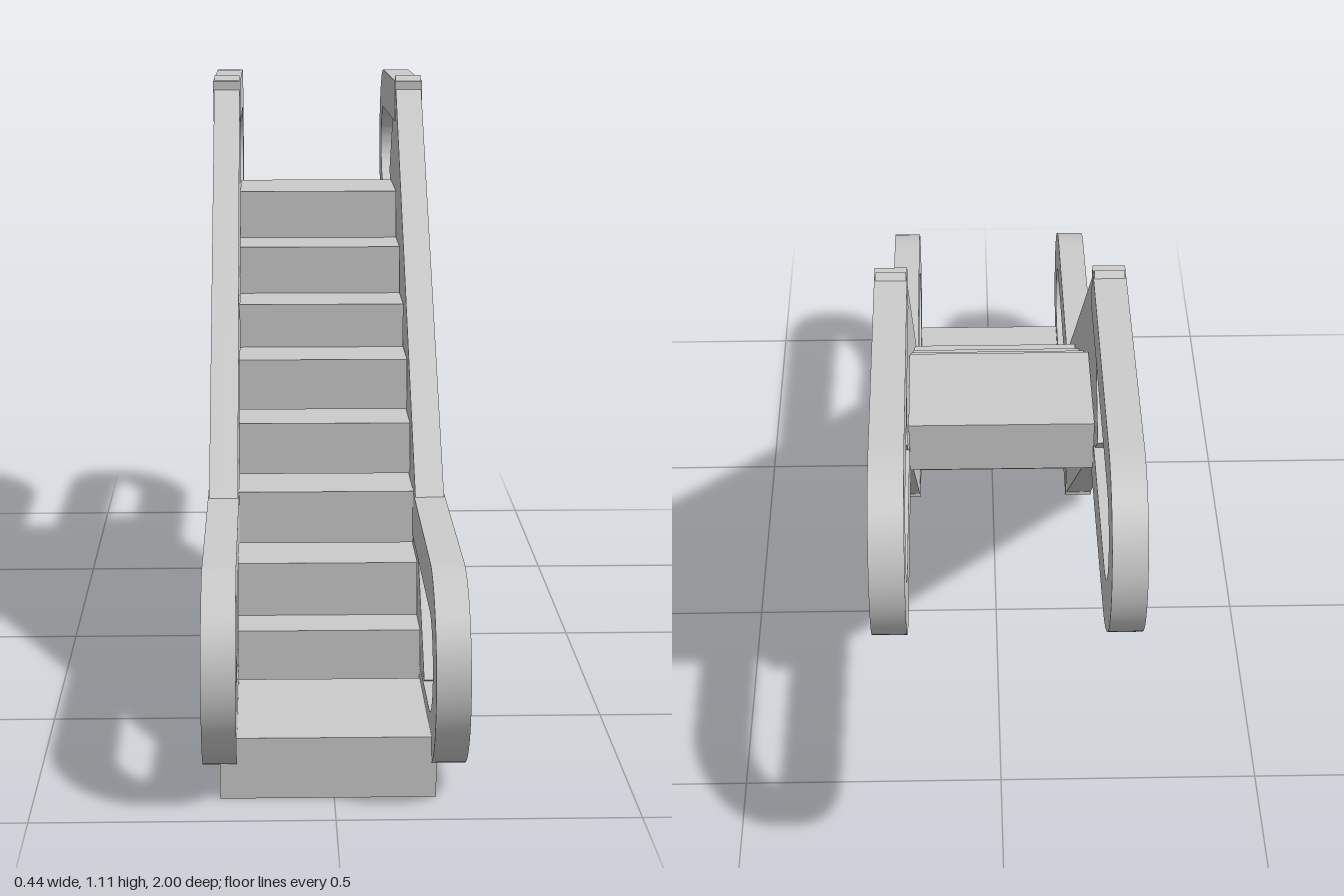
import * as THREE from 'three';
import { toCreasedNormals } from 'three/addons/utils/BufferGeometryUtils.js';

const material = new THREE.MeshStandardMaterial({ color: 0xcccccc });

// Extrudes a (z, y) side profile across x, centred on x = 0
function sideProfile(shape, width) {
  const geo = new THREE.ExtrudeGeometry(shape, { depth: width, bevelEnabled: false, curveSegments: 20 });
  geo.rotateY(-Math.PI / 2).translate(width / 2, 0, 0);
  return toCreasedNormals(geo, 0.6);
}

function addMesh(parent, name, geo, x = 0, y = 0, z = 0) {
  const mesh = new THREE.Mesh(geo, material);
  mesh.name = name;
  mesh.position.set(x, y, z);
  parent.add(mesh);
  return mesh;
}

// U-shaped handrail: two bars joined by a half ring at the outer end.
// dir = +1 faces the front, -1 the back; top and bottom are bar heights at the open end.
function handrailShape(dir, cy, top, bottom) {
  const cz = 0.83 * dir, open = 0.335 * dir, R = 0.17, r = 0.086;
  const front = dir > 0;
  const up = Math.PI / 2;
  const s = new THREE.Shape();
  s.moveTo(open, top);
  s.lineTo(cz, cy + R);
  s.absarc(cz, cy, R, up, front ? -up : 3 * up, front);
  s.lineTo(open, bottom);
  s.lineTo(open, bottom + 0.084);
  s.lineTo(cz, cy - r);
  s.absarc(cz, cy, r, front ? -up : 3 * up, up, !front);
  s.lineTo(open, top - 0.084);
  s.closePath();
  return s;
}

export function createModel() {
  const model = new THREE.Group();
  model.name = 'escalator';

  // Sloping side panel
  const panel = new THREE.Shape([
    [0.68, 0.13], [-0.365, 1.11], [-0.57, 0.89], [0.355, 0.03], [0.60, 0.05],
  ].map(([z, y]) => new THREE.Vector2(z, y)));
  const panelGeo = sideProfile(panel, 0.053);
  const lowerGeo = sideProfile(handrailShape(1, 0.215, 0.39, 0.04), 0.057);
  const upperGeo = sideProfile(handrailShape(-1, 0.92, 1.1, 0.745), 0.057);

  for (const side of [1, -1]) {
    const group = new THREE.Group();
    group.name = side > 0 ? 'leftBalustrade' : 'rightBalustrade';
    addMesh(group, 'sidePanel', panelGeo);
    addMesh(group, 'lowerHandrail', lowerGeo);
    addMesh(group, 'upperHandrail', upperGeo);
    group.position.x = side * 0.19;
    model.add(group);
  }

  // Landing block at the foot
  addMesh(model, 'basePlate', new THREE.BoxGeometry(0.36, 0.105, 0.305), -0.01, 0.0525, 0.7475);

  // Steps: [top height, front edge]
  const steps = [
    [0.19, 0.58], [0.288, 0.485], [0.39, 0.36], [0.495, 0.245],
    [0.597, 0.135], [0.683, 0], [0.778, -0.14], [0.875, -0.28],
  ];
  const height = 0.098, depth = 0.215;
  const stepGeo = new THREE.BoxGeometry(0.325, height, depth);
  steps.forEach(([top, front], i) =>
    addMesh(model, `step${i + 1}`, stepGeo, 0, top - height / 2, front - depth / 2));

  return model;
}
